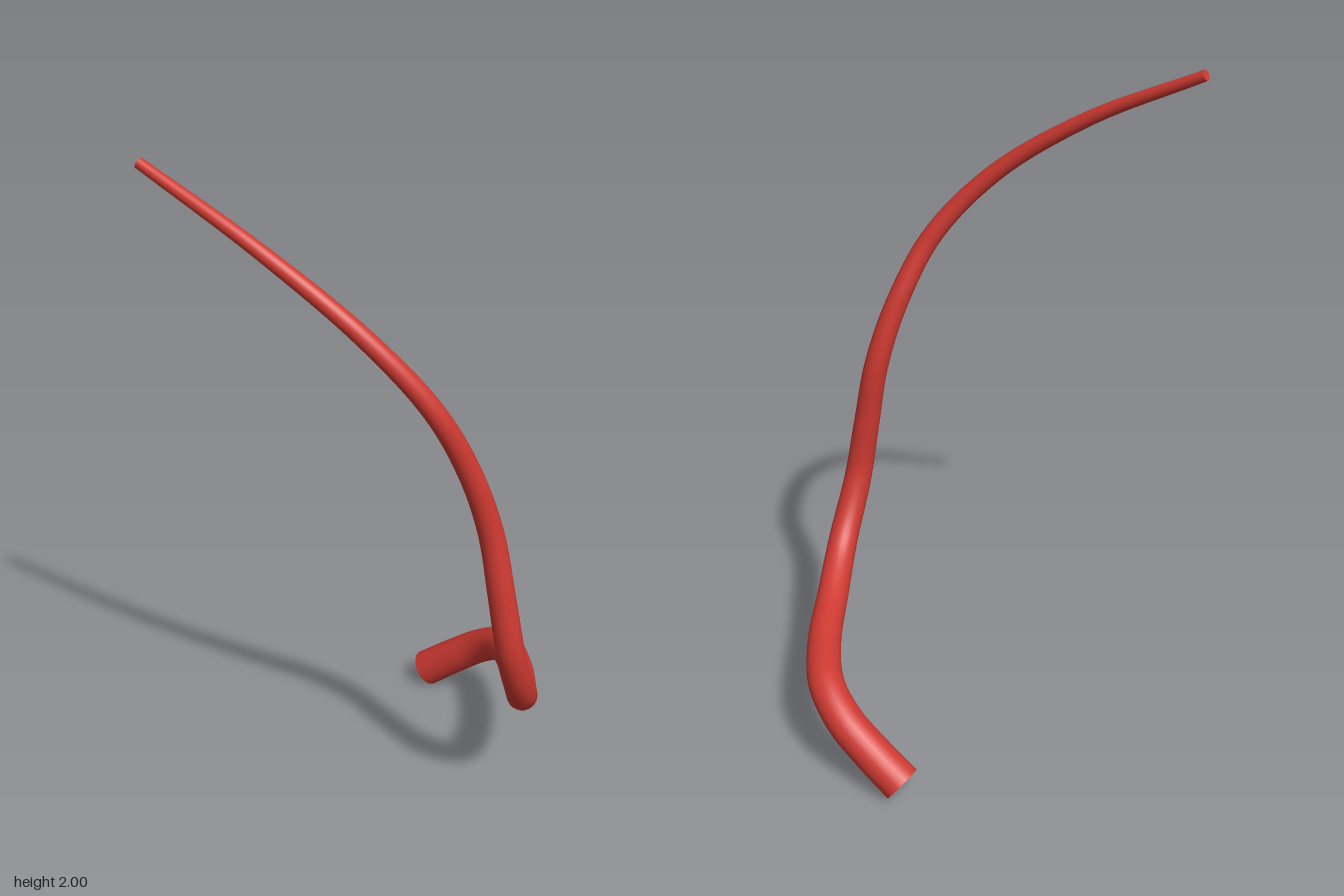
import * as THREE from 'three';

const START_RADIUS = 0.059, END_RADIUS = 0.016;
const RINGS = 120, SIDES = 24;

// Centre line from the thick foot to the thin tip
const PATH = [
  [0.375, 0.045, -0.433], [0.445, 0.118, -0.365], [0.51, 0.192, -0.285], [0.54, 0.25, -0.18],
  [0.513, 0.278, 0], [0.445, 0.325, 0.2], [0.38, 0.42, 0.35], [0.31, 0.6, 0.425],
  [0.275, 0.8, 0.422], [0.243, 1.0, 0.402], [0.172, 1.2, 0.404], [0.06, 1.4, 0.407],
  [-0.11, 1.6, 0.34], [-0.335, 1.8, 0.165], [-0.588, 1.986, -0.1],
].map(p => new THREE.Vector3(...p));

// Tube whose rings shrink evenly along its length
function taperedTube(curve) {
  const geometry = new THREE.TubeGeometry(curve, RINGS, 1, SIDES, false);
  const position = geometry.attributes.position;
  const v = new THREE.Vector3();
  for (let i = 0; i <= RINGS; i++) {
    const centre = curve.getPointAt(i / RINGS);
    const radius = THREE.MathUtils.lerp(START_RADIUS, END_RADIUS, i / RINGS);
    for (let j = 0; j <= SIDES; j++) {
      const k = i * (SIDES + 1) + j;
      v.fromBufferAttribute(position, k).sub(centre).multiplyScalar(radius).add(centre);
      position.setXYZ(k, v.x, v.y, v.z);
    }
  }
  return geometry;
}

// Flat disc closing one end, facing outwards
function endCap(name, curve, t, radius, material) {
  const cap = new THREE.Mesh(new THREE.CircleGeometry(radius, SIDES), material);
  const outward = curve.getTangentAt(t).multiplyScalar(t === 0 ? -1 : 1);
  cap.quaternion.setFromUnitVectors(new THREE.Vector3(0, 0, 1), outward);
  cap.position.copy(curve.getPointAt(t));
  cap.name = name;
  return cap;
}

export function createModel() {
  const group = new THREE.Group();
  group.name = 'taperedTendril';
  const red = new THREE.MeshStandardMaterial({ color: 0xcf3a32 });
  red.name = 'red';

  const curve = new THREE.CatmullRomCurve3(PATH, false, 'centripetal');
  curve.arcLengthDivisions = 600;

  const stem = new THREE.Mesh(taperedTube(curve), red);
  stem.name = 'stem';
  group.add(
    stem,
    endCap('footCap', curve, 0, START_RADIUS, red),
    endCap('tipCap', curve, 1, END_RADIUS, red),
  );
  return group;
}
